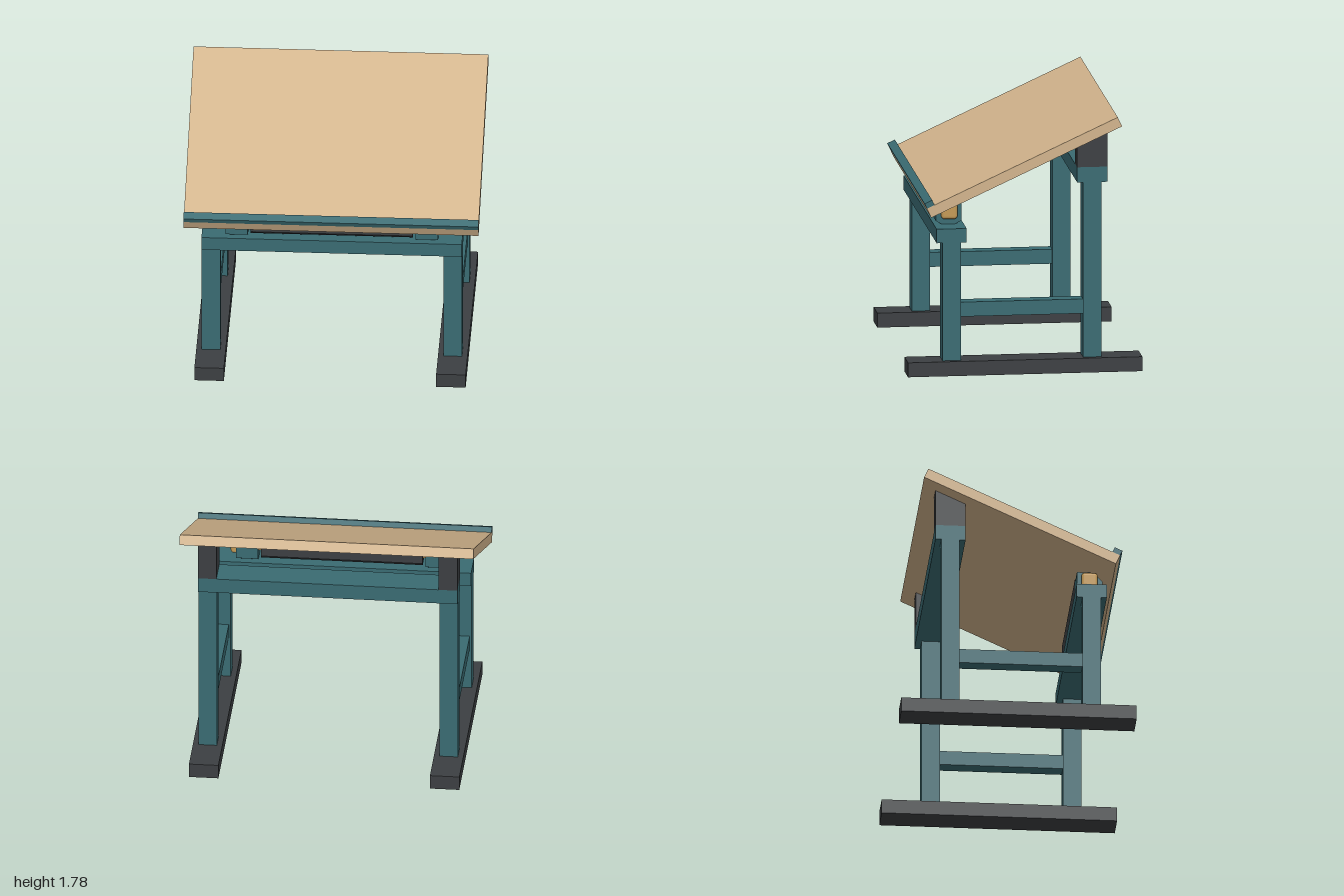
import * as THREE from 'three';
import { RoundedBoxGeometry } from 'three/addons/geometries/RoundedBoxGeometry.js';

const paint = (color) => new THREE.MeshStandardMaterial({ color, flatShading: true });

export function createModel() {
  const model = new THREE.Group();
  const teal = paint(0x3a6b72);
  const dark = paint(0x3c3f42);
  const wood = paint(0xd2b48c);
  const brass = paint(0xc49a56);

  const add = (name, geometry, material, parent = model) => {
    const mesh = new THREE.Mesh(geometry, material);
    mesh.name = name;
    parent.add(mesh);
    return mesh;
  };

  // Box given by its limits on each axis
  const block = (name, material, [x0, x1], [y0, y1], [z0, z1], parent) => {
    const mesh = add(name, new THREE.BoxGeometry(x1 - x0, y1 - y0, z1 - z0), material, parent);
    mesh.position.set((x0 + x1) / 2, (y0 + y1) / 2, (z0 + z1) / 2);
    return mesh;
  };

  // Side profile of [z, y] points, extruded along x from x0 to x1
  const prism = (name, material, x0, x1, points) => {
    const shape = new THREE.Shape(points.map(([z, y]) => new THREE.Vector2(-z, y)));
    const geometry = new THREE.ExtrudeGeometry(shape, { depth: x1 - x0, bevelEnabled: false });
    geometry.rotateY(Math.PI / 2).translate(x0, 0, 0);
    return add(name, geometry, material);
  };

  // Underside of the sloping top
  const slope = 0.459;
  const underside = (z) => 1.115 + slope * (0.65 - z);

  // Side frames, mirrored left and right
  for (const [side, s] of [['left', 1], ['right', -1]]) {
    const span = (a, b) => (s > 0 ? [a, b] : [-b, -a]);
    const post = span(0.757, 0.883);
    block(side + 'Foot', dark, span(0.72, 0.92), [0, 0.1], [-0.8, 0.8]);
    block(side + 'FrontLeg', teal, post, [0.1, 0.915], [0.435, 0.56]);
    block(side + 'BackLeg', teal, post, [0.1, 1.31], [-0.525, -0.4]);
    block(side + 'Stretcher', teal, span(0.77, 0.87), [0.4, 0.5], [-0.4, 0.435]);

    // Wedge carrying the back of the top
    prism(side + 'Wedge', dark, ...post, [
      [-0.36, 1.415], [-0.565, 1.415], [-0.565, underside(-0.565)], [-0.36, underside(-0.36)],
    ]);

    // Pivot bracket on the front rail
    prism(side + 'PivotBracket', teal, ...span(0.57, 0.72), [
      [0.545, 1.012], [0.45, 1.012], [0.41, 1.035], [0.41, 1.175],
      [0.5, 1.175], [0.535, 1.16], [0.585, 1.11], [0.585, 1.035],
    ]);

    // Rounded end of the pivot axle
    const cap = add(side + 'AxleEnd', new RoundedBoxGeometry(0.06, 0.11, 0.11, 3, 0.022), brass);
    cap.position.set(s * 0.73, 1.105, 0.495);
  }

  // Cross rails
  block('frontRail', teal, [-0.883, 0.883], [0.915, 1.012], [0.395, 0.6]);
  block('backRail', teal, [-0.883, 0.883], [1.31, 1.415], [-0.565, -0.36]);

  // Pivot axle and the long bar around it
  block('axle', brass, [-0.72, 0.72], [1.075, 1.135], [0.465, 0.525]);
  prism('pivotBar', dark, -0.55, 0.55, [
    [0.56, 1.035], [0.435, 1.035], [0.41, 1.06], [0.41, 1.2],
    [0.466, underside(0.466)], [0.585, underside(0.585)], [0.585, 1.06],
  ]);

  // Sloping top with its front ledge
  const top = new THREE.Group();
  top.name = 'tiltedTop';
  top.position.set(0, 1.448, 0.015);
  top.rotation.x = Math.atan(slope);
  model.add(top);
  block('board', wood, [-1, 1], [-0.035, 0.035], [-0.717, 0.717], top);
  block('ledge', teal, [-1, 1], [0.035, 0.073], [0.66, 0.717], top);

  return model;
}
